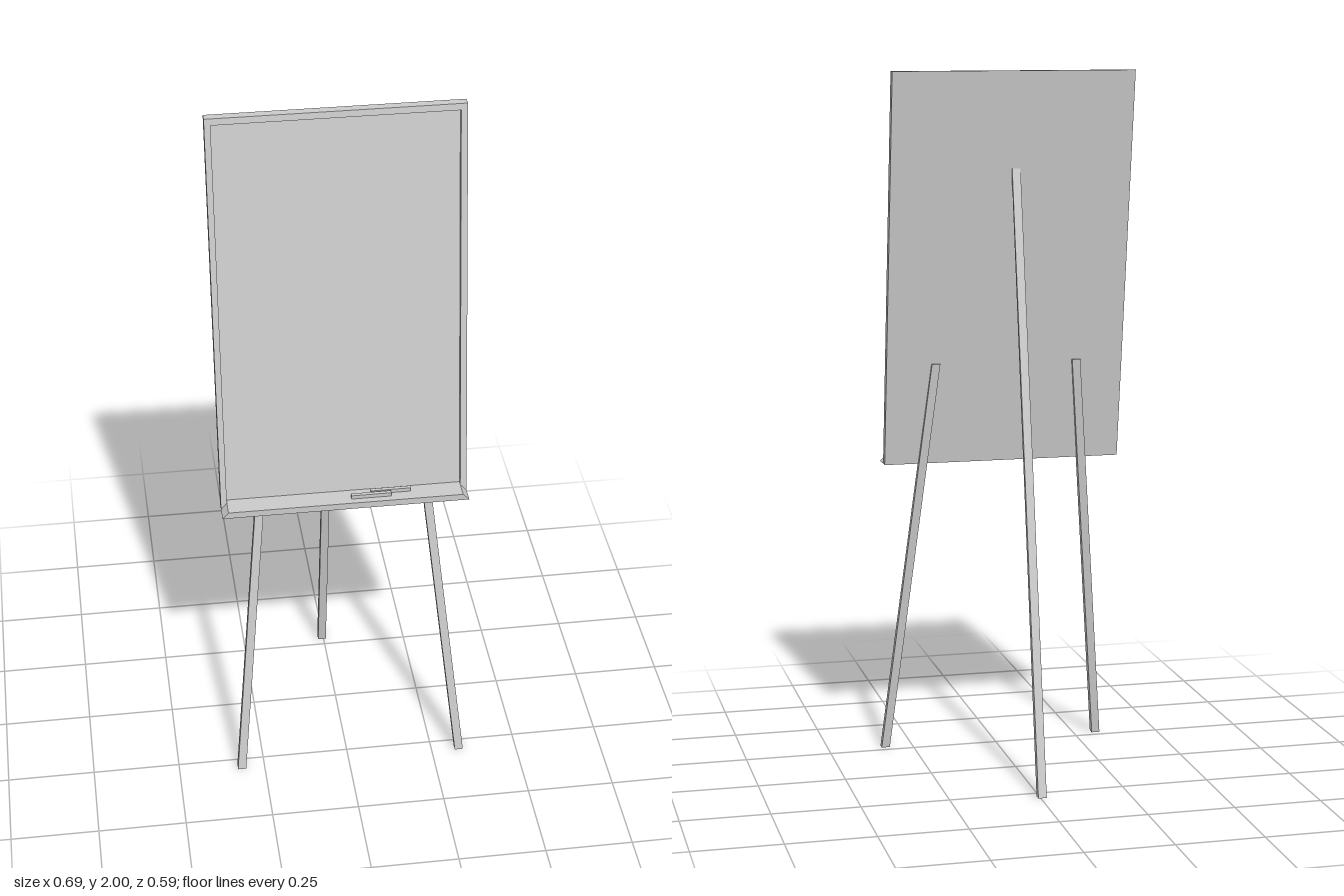
import * as THREE from 'three';

const material = new THREE.MeshStandardMaterial({ color: 0xcccccc, flatShading: true });

// z of the back of the leaning board at height y
const leanZ = (y) => 0.0025 + 0.147 * (2 - y);

function addMesh(parent, name, geometry) {
  const mesh = new THREE.Mesh(geometry, material);
  mesh.name = name;
  parent.add(mesh);
  return mesh;
}

// Shear a geometry in z so that it follows the lean of the board
function lean(geometry) {
  const p = geometry.attributes.position;
  for (let i = 0; i < p.count; i++) p.setZ(i, p.getZ(i) + leanZ(p.getY(i)));
  geometry.computeVertexNormals();
  return geometry;
}

// Slanted leg with level ends; each end is { x, y, z, w, d } (centre, width, depth)
function legGeometry(bottom, top) {
  const geometry = new THREE.BoxGeometry(1, 1, 1).toNonIndexed();
  const p = geometry.attributes.position;
  for (let i = 0; i < p.count; i++) {
    const end = p.getY(i) > 0 ? top : bottom;
    p.setXYZ(i, end.x + p.getX(i) * end.w, end.y, end.z + p.getZ(i) * end.d);
  }
  geometry.computeVertexNormals();
  return geometry;
}

function rectangle(Type, x0, y0, x1, y1) {
  return new Type([
    new THREE.Vector2(x0, y0), new THREE.Vector2(x1, y0),
    new THREE.Vector2(x1, y1), new THREE.Vector2(x0, y1),
  ]);
}

export function createModel() {
  const easel = new THREE.Group();
  easel.name = 'easel';

  // Board: raised frame around a recessed panel
  const board = new THREE.Group();
  board.name = 'board';
  easel.add(board);
  const frameShape = rectangle(THREE.Shape, -0.347, 0.875, 0.346, 2);
  frameShape.holes.push(rectangle(THREE.Path, -0.33, 0.894, 0.328, 1.982));
  addMesh(board, 'frame', lean(new THREE.ExtrudeGeometry(frameShape, { depth: 0.025, bevelEnabled: false })));
  const panelShape = rectangle(THREE.Shape, -0.33, 0.894, 0.328, 1.982);
  addMesh(board, 'panel', lean(new THREE.ExtrudeGeometry(panelShape, { depth: 0.011, bevelEnabled: false })));

  // Tray: ledge with mitred ends running forward from the lower frame bar
  const trayShape = new THREE.Shape([
    new THREE.Vector2(-0.347, 0.875), new THREE.Vector2(0.346, 0.875),
    new THREE.Vector2(0.328, 0.894), new THREE.Vector2(-0.33, 0.894),
  ]);
  const tray = addMesh(easel, 'tray', new THREE.ExtrudeGeometry(trayShape, { depth: 0.06, bevelEnabled: false }));
  tray.position.z = 0.178;

  // Two markers lying on the tray
  for (const [x, z] of [[0.129, 0.197], [0.072, 0.213]]) {
    addMesh(easel, 'marker', new THREE.BoxGeometry(0.112, 0.011, 0.011)).position.set(x, 0.8995, z);
  }

  // Splayed front legs, fixed to the back of the board
  for (const [name, footX, topX] of [['frontLegLeft', 0.331, 0.204], ['frontLegRight', -0.317, -0.209]]) {
    addMesh(easel, name, legGeometry(
      { x: footX, y: 0, z: 0.283, w: 0.024, d: 0.022 },
      { x: topX, y: 1.17, z: 0.125, w: 0.024, d: 0.018 },
    ));
  }

  // Rear leg, thinning towards its top
  addMesh(easel, 'rearLeg', legGeometry(
    { x: -0.005, y: 0, z: -0.286, w: 0.024, d: 0.022 },
    { x: -0.013, y: 1.73, z: 0.047, w: 0.024, d: 0.008 },
  ));

  return easel;
}
